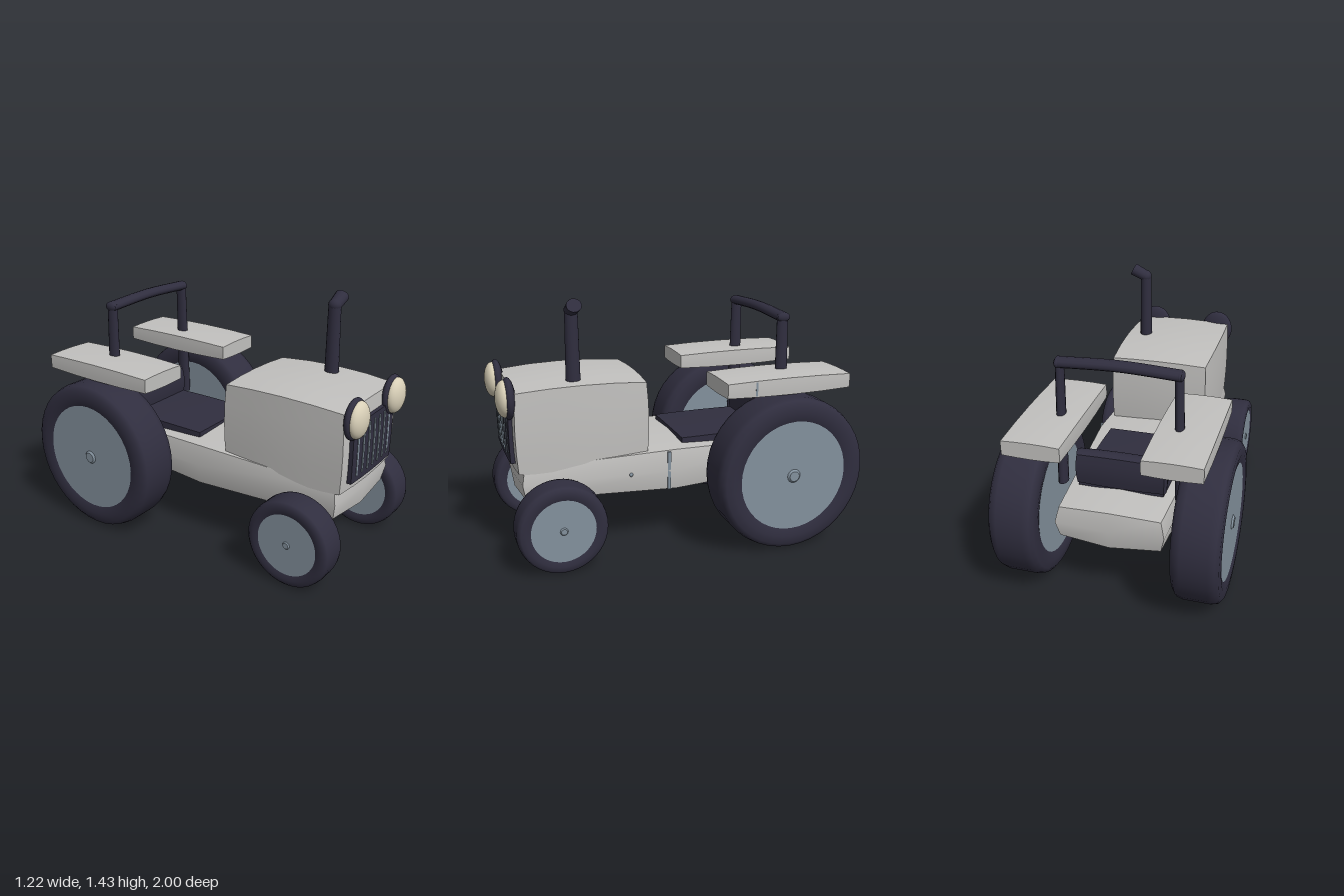
import * as THREE from 'three';

const mat = (name, color) => {
  const m = new THREE.MeshStandardMaterial({ color });
  m.name = name;
  return m;
};

// Box whose faces swell in the middle; k gives, per axis, how much its two other axes pull the size in.
function swollenBox(w, h, d, k, seg = 4) {
  const g = new THREE.BoxGeometry(2, 2, 2, seg, seg, seg);
  const p = g.attributes.position;
  for (let i = 0; i < p.count; i++) {
    const x = p.getX(i), y = p.getY(i), z = p.getZ(i);
    const X = x * x, Y = y * y, Z = z * z;
    p.setXYZ(i,
      x * w / 2 * (1 - k[0][0] * Y - k[0][1] * Z),
      y * h / 2 * (1 - k[1][0] * X - k[1][1] * Z),
      z * d / 2 * (1 - k[2][0] * X - k[2][1] * Y));
  }
  g.computeVertexNormals();
  return g;
}

export function createModel() {
  const body = mat('bodyGrey', 0xc2c1bf);
  const dark = mat('darkRubber', 0x302e3f);
  const blue = mat('steelBlue', 0x83919d);
  const cream = mat('lensCream', 0xd9d0b8);
  const model = new THREE.Group();
  model.name = 'tractor';

  const add = (name, geo, material, x = 0, y = 0, z = 0, parent = model) => {
    const m = new THREE.Mesh(geo, material);
    m.name = name;
    m.position.set(x, y, z);
    parent.add(m);
    return m;
  };

  // Body
  add('chassis', swollenBox(0.68, 0.27, 1.75, [[0.06, 0.13], [0.14, 0.2], [0.02, 0.02]], 2), body, 0, 0.465, 0.035);
  add('hood', swollenBox(0.6, 0.5, 0.75, [[0.02, 0.04], [0.04, 0.07], [0.02, 0.03]]), body, 0, 0.75, 0.55);

  // Grille with vertical bars
  add('grille', swollenBox(0.45, 0.33, 0.07, [[0.02, 0], [0.02, 0], [0.1, 0.1]]), dark, 0, 0.733, 0.91);
  for (let i = -3; i <= 3; i++) {
    add('grilleBar', swollenBox(0.017, 0.265, 0.016, [[0.2, 0], [0, 0], [0, 0.2]]), blue,
      i * 0.057, 0.737, 0.942 - 0.0006 * i * i);
  }

  // Seat
  add('seat', swollenBox(0.48, 0.05, 0.57, [[0, 0.02], [0.06, 0.1], [0, 0]]), dark, 0, 0.592, -0.315);
  add('seatBack', swollenBox(0.5, 0.2, 0.1, [[0.02, 0.03], [0.05, 0.1], [0.05, 0.2]]), dark, 0, 0.68, -0.575);

  // Wheels
  const wheel = (name, R, rim, half, x, y, z) => {
    const g = new THREE.Group();
    g.name = name;
    const t = R - rim;
    const pts = [
      [rim - 0.02, -half * 0.85], [rim, -half * 0.94], [rim + t * 0.35, -half], [R - t * 0.28, -half * 0.97],
      [R - t * 0.08, -half * 0.83], [R, -half * 0.55], [R, half * 0.55], [R - t * 0.08, half * 0.83],
      [R - t * 0.28, half * 0.97], [rim + t * 0.35, half], [rim, half * 0.94], [rim - 0.02, half * 0.85],
    ].map(([r, h]) => new THREE.Vector2(r, h));
    add('tire', new THREE.LatheGeometry(pts, 40), dark, 0, 0, 0, g);
    add('wheelDisc', new THREE.CylinderGeometry(rim, rim, half * 1.84, 40), blue, 0, 0, 0, g);
    add('hub', new THREE.CylinderGeometry(rim * 0.09, rim * 0.13, half * 0.1, 16), blue, 0, half * 0.95, 0, g);
    g.rotation.z = -Math.sign(x) * Math.PI / 2;
    g.position.set(x, y, z);
    model.add(g);
  };

  for (const s of [-1, 1]) {
    wheel('rearWheel', 0.44, 0.32, 0.128, s * 0.483, 0.45, -0.555);
    wheel('frontWheel', 0.247, 0.18, 0.083, s * 0.398, 0.256, 0.716);

    // Fenders
    add('fender', swollenBox(0.315, 0.105, 0.74, [[0.01, 0.02], [0.1, 0.15], [0, 0]]), body, s * 0.357, 0.942, -0.557);

    // Roll bar posts
    const post = add('rollBarPost', new THREE.CylinderGeometry(0.022, 0.027, 0.72, 12), dark, s * 0.317, 0.94, -0.595);
    post.scale.z = 1.5;
    post.rotation.z = s * 0.02;

    // Headlights
    add('headlightRim', new THREE.SphereGeometry(1, 28, 18), dark, s * 0.21, 0.932, 0.932).scale.set(0.098, 0.113, 0.038);
    add('headlightLens', new THREE.SphereGeometry(1, 28, 18), cream, s * 0.21, 0.932, 0.952).scale.set(0.088, 0.1, 0.048);
  }

  // Roll bar crosspiece, slightly arched
  const arch = new THREE.CatmullRomCurve3([[-0.325, 1.285], [0, 1.298], [0.325, 1.285]]
    .map(([x, y]) => new THREE.Vector3(x, y, 0)));
  const bar = add('rollBarTop', new THREE.TubeGeometry(arch, 16, 0.028, 12), dark, 0, 0, -0.597);
  bar.scale.z = 1.4;
  for (const s of [-1, 1]) {
    add('rollBarCorner', new THREE.SphereGeometry(1, 14, 10), dark, s * 0.316, 1.285, -0.597).scale.set(0.022, 0.028, 0.041);
  }

  // Exhaust pipe with bent outlet
  const exhaust = new THREE.Group();
  exhaust.name = 'exhaust';
  exhaust.position.set(0.183, 0, 0.576);
  exhaust.scale.z = 1.12;
  model.add(exhaust);
  add('exhaustPipe', new THREE.CylinderGeometry(0.032, 0.037, 0.44, 14), dark, 0, 1.16, 0, exhaust);
  add('exhaustElbow', new THREE.SphereGeometry(0.034, 14, 10), dark, 0, 1.372, 0, exhaust);
  const outlet = add('exhaustOutlet', new THREE.CylinderGeometry(0.037, 0.033, 0.085, 14), dark, 0.04, 1.39, 0, exhaust);
  outlet.rotation.z = -1.12;

  // Small trim on the left flank
  add('chassisTrim', swollenBox(0.012, 0.22, 0.018, [[0, 0], [0, 0], [0, 0]], 1), blue, 0.331, 0.465, 0.08);
  add('chassisBolt', new THREE.SphereGeometry(0.011, 10, 8), blue, 0.325, 0.465, 0.3);
  add('fenderTrim', new THREE.BoxGeometry(0.006, 0.078, 0.012), blue, 0.511, 0.942, -0.355);

  return model;
}
